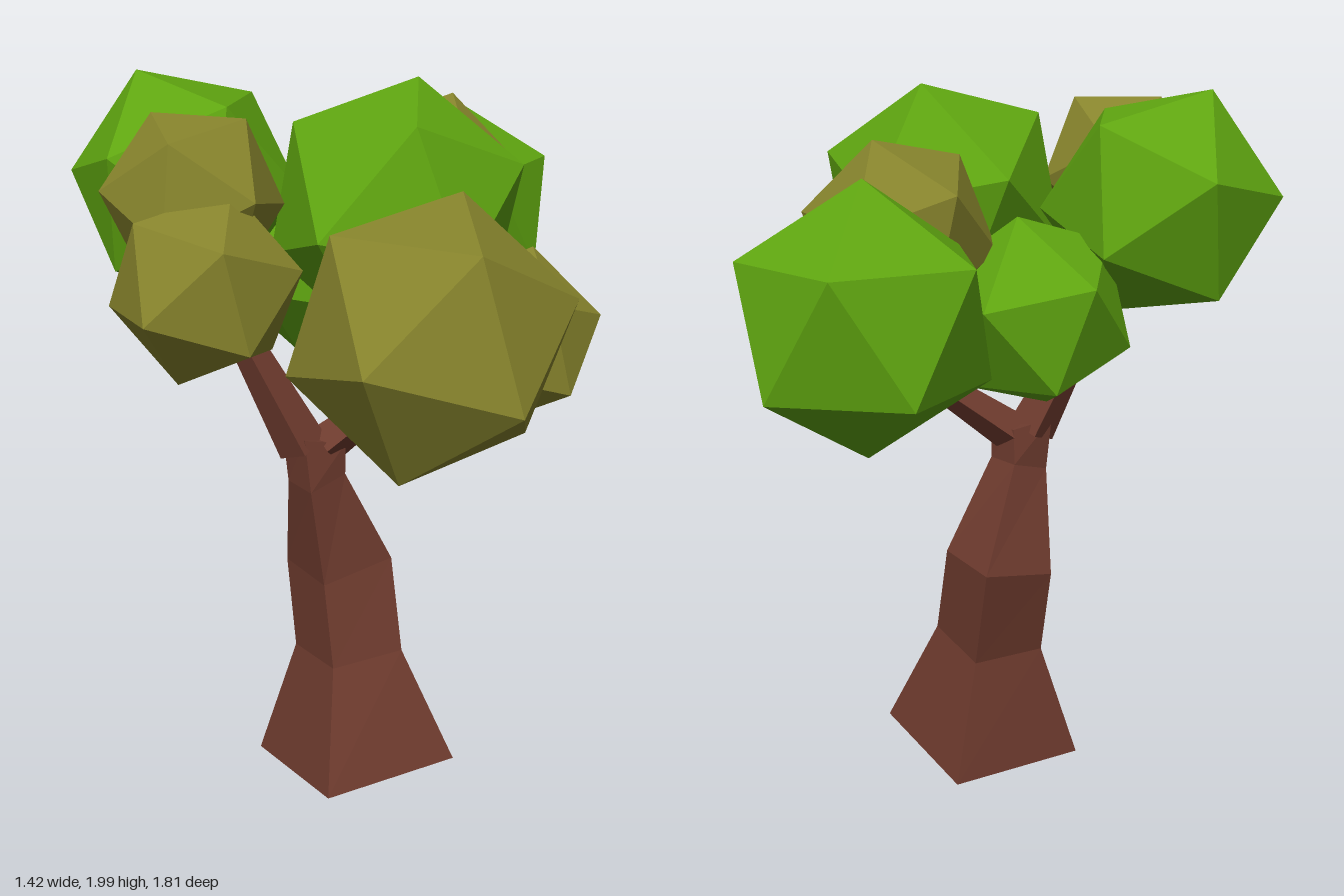
import * as THREE from 'three';

export function createModel() {
  const tree = new THREE.Group();
  tree.name = 'tree';

  const material = (name, color) => {
    const m = new THREE.MeshStandardMaterial({ color });
    m.name = name;
    return m;
  };
  const bark = material('brown bark', 0x6e3b2e);
  const green = material('green leaves', 0x5fa510);
  const olive = material('olive leaves', 0x86832c);
  const V = (p) => new THREE.Vector3(...p);

  const add = (name, geometry, mat) => {
    const mesh = new THREE.Mesh(geometry, mat);
    mesh.name = name;
    tree.add(mesh);
    return mesh;
  };

  // Trunk: four-sided rings, each ordered left, front, right, back
  const rings = [
    [[-0.24, 0, 0.03], [-0.07, 0.06, 0.41], [0.31, 0.06, 0.24], [0.14, 0, -0.13]],
    [[-0.13, 0.345, 0.03], [-0.04, 0.375, 0.24], [0.165, 0.38, 0.16], [0.075, 0.345, -0.05]],
    [[-0.15, 0.6, -0.02], [-0.06, 0.61, 0.185], [0.14, 0.645, 0.095], [0.05, 0.635, -0.11]],
    [[-0.15, 0.89, 0.08], [-0.095, 0.89, 0.18], [0.005, 0.92, 0.12], [-0.05, 0.92, 0.03]],
    [[-0.165, 1.04, 0.08], [-0.11, 1.04, 0.165], [0.005, 1.01, 0.12], [-0.05, 1.02, 0.045]],
  ];
  const index = [0, 3, 2, 0, 2, 1];
  for (let r = 0; r < rings.length - 1; r++) {
    for (let i = 0; i < 4; i++) {
      const a = r * 4 + i, b = r * 4 + (i + 1) % 4;
      index.push(a, b, b + 4, a, b + 4, a + 4);
    }
  }
  const top = (rings.length - 1) * 4;
  index.push(top, top + 1, top + 2, top, top + 2, top + 3);
  const indexed = new THREE.BufferGeometry();
  indexed.setAttribute('position', new THREE.Float32BufferAttribute(rings.flat(2), 3));
  indexed.setIndex(index);
  const trunk = indexed.toNonIndexed();
  trunk.computeVertexNormals();
  add('trunk', trunk, bark);

  // Branches: tapered four-sided limbs from point to point
  const branch = (name, from, to, r0, r1) => {
    const a = V(from), b = V(to), dir = b.clone().sub(a);
    const geometry = new THREE.CylinderGeometry(r1, r0, dir.length(), 4).toNonIndexed();
    geometry.computeVertexNormals();
    const mesh = add(name, geometry, bark);
    mesh.position.copy(a).add(b).multiplyScalar(0.5);
    mesh.quaternion.setFromUnitVectors(V([0, 1, 0]), dir.normalize());
  };
  const fork = [0.17, 1.16, 0.08], leftFork = [-0.29, 1.36, 0.1], backFork = [0.3, 1.33, -0.35];
  branch('leftLimb', [-0.11, 1.0, 0.11], leftFork, 0.07, 0.04);
  branch('rightLimb', [-0.05, 1.0, 0.1], fork, 0.06, 0.04);
  branch('backLimb', fork, backFork, 0.035, 0.028);
  branch('rightTwig', fork, [0.44, 1.3, 0.18], 0.03, 0.02);
  branch('frontTwig', fork, [0.17, 1.36, 0.5], 0.03, 0.02);
  branch('upperTwig', fork, [0.13, 1.6, 0.13], 0.03, 0.02);
  branch('backRightTwig', backFork, [0.4, 1.45, -0.6], 0.028, 0.02);
  branch('backUpperTwig', backFork, [0.3, 1.6, -0.31], 0.028, 0.02);
  branch('leftUpperTwig', leftFork, [-0.4, 1.62, -0.12], 0.038, 0.025);
  branch('leftFrontTwig', leftFork, [-0.36, 1.5, 0.4], 0.03, 0.02);
  branch('leftMiddleTwig', leftFork, [-0.38, 1.66, 0.24], 0.03, 0.02);

  // Foliage: icosahedra turned so two neighbouring corners point along p and q
  const foliage = (name, mat, center, radius, p, q) => {
    const a = V(p).normalize(), b = V(q).normalize();
    const x = b.clone().sub(a).normalize(), y = b.clone().add(a).normalize();
    const turn = new THREE.Matrix4().makeBasis(x, y, x.clone().cross(y));
    const mesh = add(name, new THREE.IcosahedronGeometry(radius, 0), mat);
    mesh.quaternion.setFromRotationMatrix(turn);
    mesh.position.set(...center);
  };
  foliage('topFoliage', green, [0.13, 1.67, 0.15], 0.35, [0.07, 0.32, -0.12], [-0.28, 0.25, 0]);
  foliage('leftFoliage', green, [-0.41, 1.69, -0.16], 0.32, [-0.13, 0.3, -0.04], [0.22, 0.23, -0.15]);
  foliage('backRightFoliage', green, [0.4, 1.493, -0.63], 0.332, [0, 1, 0], [2, 1, 0]);
  foliage('backFoliage', green, [-0.05, 1.43, -0.28], 0.27, [-0.06, -0.26, 0.05], [0.13, -0.08, 0.22]);
  foliage('frontFoliage', olive, [0.16, 1.465, 0.6], 0.36, [0.1, 0.335, -0.14], [0.34, 0.1, 0.03]);
  foliage('rightFoliage', olive, [0.44, 1.33, 0.19], 0.243, [0.05, 0.23, -0.05], [0.24, 0.05, 0.02]);
  foliage('backRightSmallFoliage', olive, [0.29, 1.65, -0.3], 0.25, [0.06, 0.24, -0.06], [0.23, 0.04, 0.02]);
  foliage('leftSmallFoliage', olive, [-0.39, 1.74, 0.27], 0.235, [-0.09, 0.2, -0.08], [0.13, 0.2, 0]);
  foliage('frontLeftFoliage', olive, [-0.37, 1.555, 0.44], 0.245, [0.07, 0.23, -0.04], [0.235, 0.05, 0.05]);

  return tree;
}
